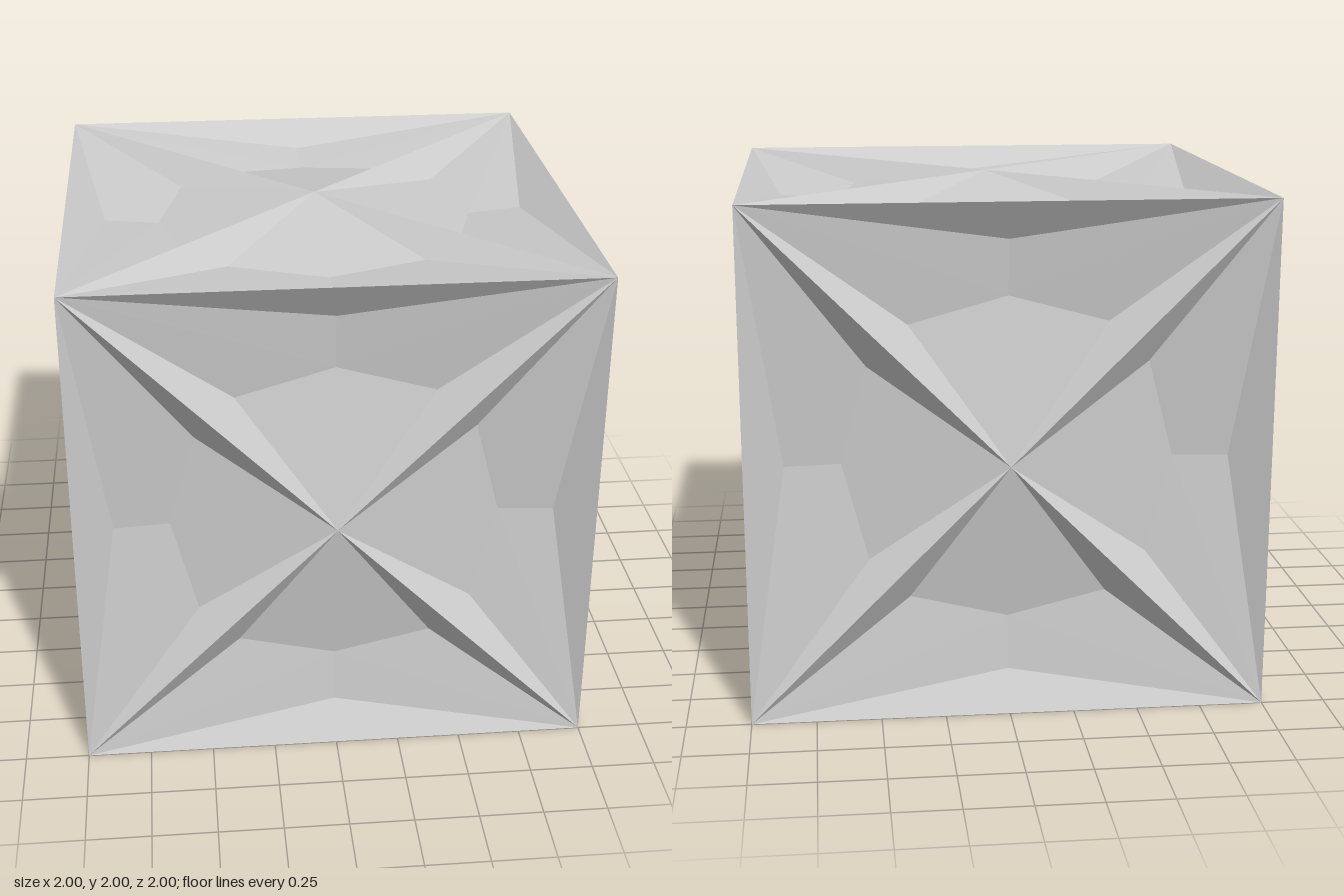
import * as THREE from 'three';

// Corners of one half of a pit: [across, outward, depth below the cube face]
const centre = [0, 0, 0];
const corner = [1, 1, 0];
const side = [0.379, 0.535, 0.095];
const floor = [0, 0.635, 0.1125];
const rim = [0, 0.85, 0.093];

const halfPit = [
  [centre, corner, side], // steep wall under the diagonal ridge
  [centre, side, floor], // inner slope
  [side, corner, floor], // outer floor
  [floor, corner, rim],
];

// One triangular pit between the face centre and a cube edge
function pitGeometry() {
  const positions = [];
  const add = (points, sign) => {
    const ordered = sign > 0 ? points : [...points].reverse();
    for (const [x, y, d] of ordered) positions.push(sign * x, y, 1 - d);
  };
  for (const triangle of halfPit) {
    add(triangle, 1);
    add(triangle, -1);
  }
  // wall under the cube edge
  add([corner, [-1, 1, 0], rim], 1);
  const geometry = new THREE.BufferGeometry();
  geometry.setAttribute('position', new THREE.Float32BufferAttribute(positions, 3));
  geometry.computeVertexNormals();
  return geometry;
}

export function createModel() {
  const model = new THREE.Group();
  model.name = 'stellatedCube';
  const material = new THREE.MeshStandardMaterial({ color: 0xcccccc, flatShading: true });
  const pit = pitGeometry();

  const q = Math.PI / 2;
  const faces = {
    frontFace: [0, 0],
    leftFace: [0, q],
    backFace: [0, 2 * q],
    rightFace: [0, -q],
    topFace: [-q, 0],
    bottomFace: [q, 0],
  };

  // Six faces, each with four pits around its centre
  for (const [name, [rx, ry]] of Object.entries(faces)) {
    const face = new THREE.Group();
    face.name = name;
    face.rotation.set(rx, ry, 0);
    face.position.y = 1;
    for (let i = 0; i < 4; i++) {
      const mesh = new THREE.Mesh(pit, material);
      mesh.name = 'pit' + (i + 1);
      mesh.rotation.z = i * q;
      face.add(mesh);
    }
    model.add(face);
  }
  return model;
}
